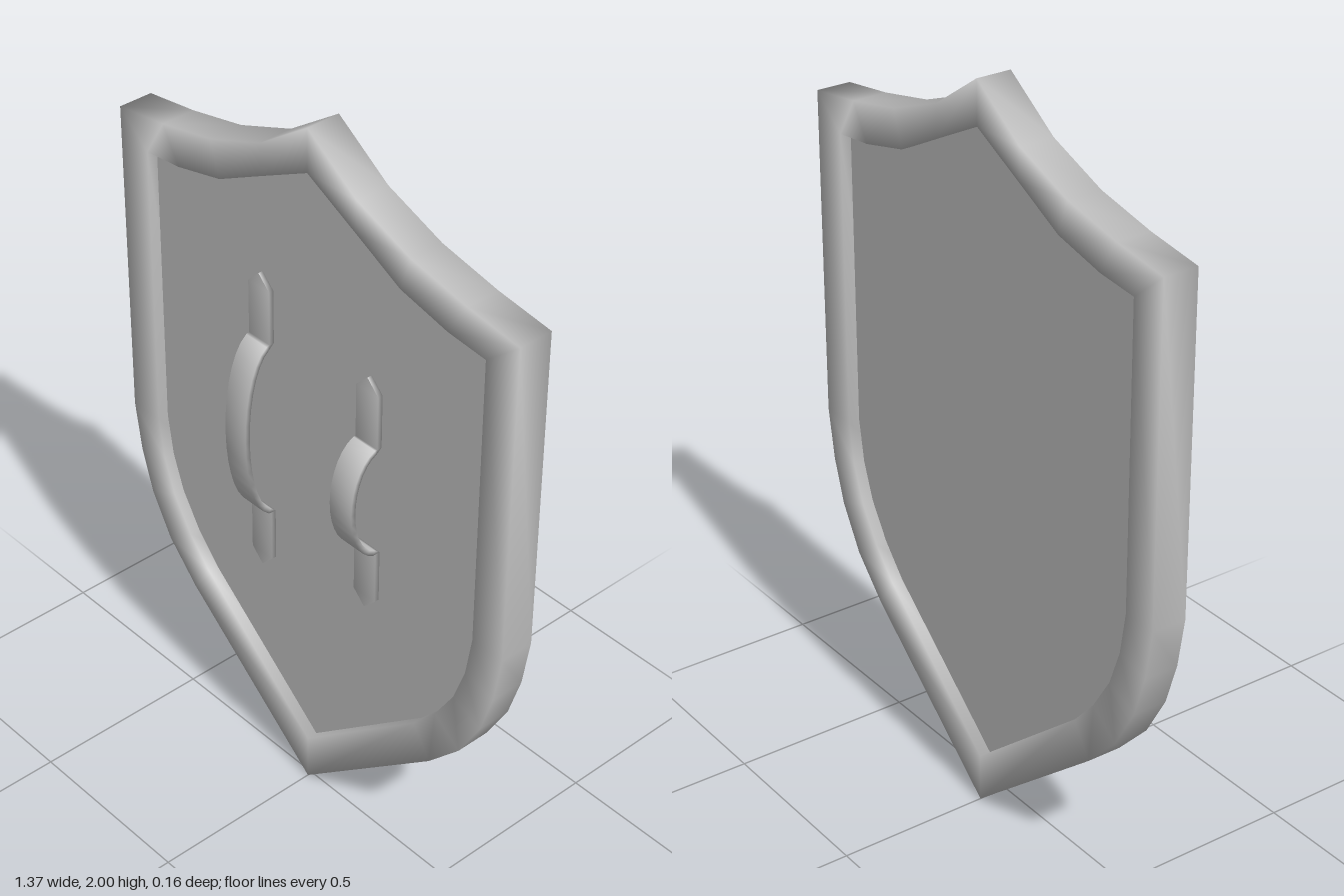
import * as THREE from 'three';

const FRONT = 0.015, BACK = -0.081;            // rim depth
const PANEL_FRONT = -0.015, PANEL_BACK = -0.05; // recessed panel

// Right half of each outline, from the top peak down to the bottom point
const OUTER = [[0, 2], [0.165, 1.888], [0.343, 1.82], [0.52, 1.783], [0.685, 1.76], [0.685, 0.865],
  [0.662, 0.725], [0.624, 0.605], [0.556, 0.485], [0.455, 0.378], [0, 0]];
const INNER = [[0, 1.883], [0.164, 1.8], [0.312, 1.724], [0.465, 1.688], [0.585, 1.676], [0.585, 0.865],
  [0.566, 0.748], [0.53, 0.647], [0.47, 0.55], [0.397, 0.467], [0, 0.135]];

// Full outline: right half plus its mirror image
const mirrored = (half) => [...half, ...half.slice(1, -1).reverse().map(([x, y]) => [-x, y])];

// Skin a run of equal-sized cross-section rings with shared, smooth normals
function loft(rings, closed) {
  const n = rings[0].length, index = [];
  const spans = closed ? rings.length : rings.length - 1;
  for (let i = 0; i < spans; i++) {
    const k = (i + 1) % rings.length;
    for (let j = 0; j < n; j++) {
      const m = (j + 1) % n;
      const a = i * n + j, b = k * n + j, c = k * n + m, d = i * n + m;
      index.push(a, b, c, a, c, d);
    }
  }
  const g = new THREE.BufferGeometry();
  g.setAttribute('position', new THREE.Float32BufferAttribute(rings.flat(2), 3));
  g.setIndex(index);
  g.computeVertexNormals();
  return g;
}

// Strap with pointed flat tabs and a raised half-ellipse grip between them
function strapGeometry(halfLength, halfGrip) {
  const thick = 0.014, width = 0.038, base = PANEL_FRONT, rise = 0.081 - base - thick;
  const path = [[halfLength, base, 0, 0, 1], [halfLength - 0.038, base, width, 0, 1]];
  const steps = 16;
  path.push([halfGrip + 0.01, base, width, 0, 1]);
  for (let i = 1; i < steps; i++) {
    const t = (i / steps) * Math.PI;
    const normal = new THREE.Vector2(Math.cos(t) / halfGrip, Math.sin(t) / rise).normalize();
    path.push([halfGrip * Math.cos(t), base + rise * Math.sin(t), width, normal.x, normal.y]);
  }
  path.push([-halfGrip - 0.01, base, width, 0, 1]);
  path.push([-halfLength + 0.038, base, width, 0, 1], [-halfLength, base, 0, 0, 1]);
  return loft(path.map(([y, z, w, ny, nz]) => {
    const yo = y + ny * thick, zo = z + nz * thick;
    return [[-w, yo, zo], [w, yo, zo], [w, y, z], [-w, y, z]];
  }), false);
}

export function createModel() {
  const group = new THREE.Group();
  const material = new THREE.MeshStandardMaterial({ color: 0xcccccc });
  const add = (name, geometry) => {
    const mesh = new THREE.Mesh(geometry, material);
    mesh.name = name;
    group.add(mesh);
    return mesh;
  };

  // Raised rim around the whole outline
  const outer = mirrored(OUTER), inner = mirrored(INNER);
  add('rim', loft(outer.map(([x, y], i) => {
    const [u, v] = inner[i];
    return [[x, y, FRONT], [x, y, BACK], [u, v, BACK], [u, v, FRONT]];
  }), true));

  // Flat panel set back from both faces of the rim
  const shape = new THREE.Shape(inner.map(([x, y]) => new THREE.Vector2(x, y)));
  add('panel', new THREE.ExtrudeGeometry(shape, { depth: PANEL_FRONT - PANEL_BACK, bevelEnabled: false }))
    .position.z = PANEL_BACK;

  // Arm strap and shorter hand grip
  add('armStrap', strapGeometry(0.45, 0.25)).position.set(-0.194, 1.06, 0);
  add('handGrip', strapGeometry(0.35, 0.15)).position.set(0.192, 1.06, 0);

  return group;
}
